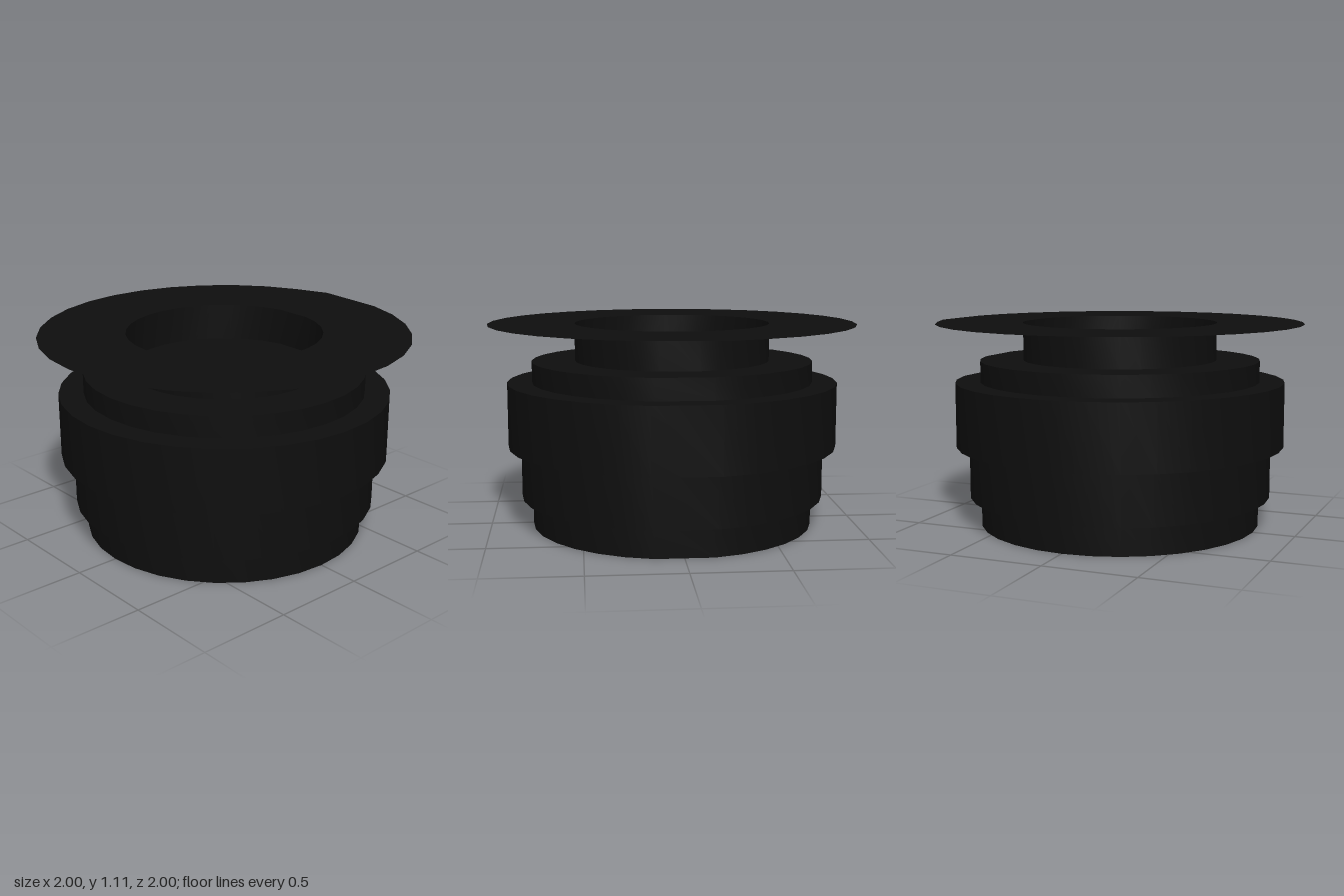
import * as THREE from 'three';
import { toCreasedNormals } from 'three/addons/utils/BufferGeometryUtils.js';

const SIDES = 32;
const STEP = (2 * Math.PI) / SIDES;

export function createModel() {
  const group = new THREE.Group();
  const black = new THREE.MeshStandardMaterial({ color: 0x0e0e0e, side: THREE.DoubleSide });

  // Turned part from [radius, height] points; the rearmost corner of every ring
  // is merged into its neighbour, leaving one longer flat at the back.
  function turned(name, profile, backStretch = 1) {
    const geo = new THREE.LatheGeometry(profile.map(([r, y]) => new THREE.Vector2(r, y)), SIDES);
    const pos = geo.attributes.position;
    for (let i = 0; i < pos.count; i++) {
      const r = Math.hypot(pos.getX(i), pos.getZ(i));
      const a = Math.atan2(pos.getX(i), pos.getZ(i));
      const nearBack = Math.abs(Math.abs(a) - Math.PI) < STEP / 2;
      const nextToBack = Math.abs(a + Math.PI - STEP) < STEP / 2;
      if (r > 0.001 && (nearBack || nextToBack)) {
        const stretch = r > 0.95 ? backStretch : 1;
        pos.setX(i, -r * Math.sin(STEP));
        pos.setZ(i, -r * Math.cos(STEP) * stretch);
      }
    }
    const mesh = new THREE.Mesh(toCreasedNormals(geo, Math.PI / 6), black);
    mesh.name = name;
    group.add(mesh);
  }

  // Stepped body with a shallow round recess underneath
  turned('steppedBody', [
    [0, 0.015], [0.33, 0.015], [0.33, 0], [0.77, 0], [0.77, 0.16],
    [0.83, 0.16], [0.83, 0.44], [0.9, 0.44], [0.9, 0.79],
    [0.765, 0.79], [0.765, 0.905], [0, 0.905],
  ]);

  // Open neck rising from the body
  turned('neck', [[0.53, 0.905], [0.53, 1.107]]);

  // Flat thin brim around the top of the neck
  turned('brim', [[1, 1.107], [0.53, 1.107]], 1.018);

  // Low central boss on the floor of the neck
  turned('centreBoss', [[0.35, 0.905], [0.33, 0.945], [0, 0.945]]);

  return group;
}
